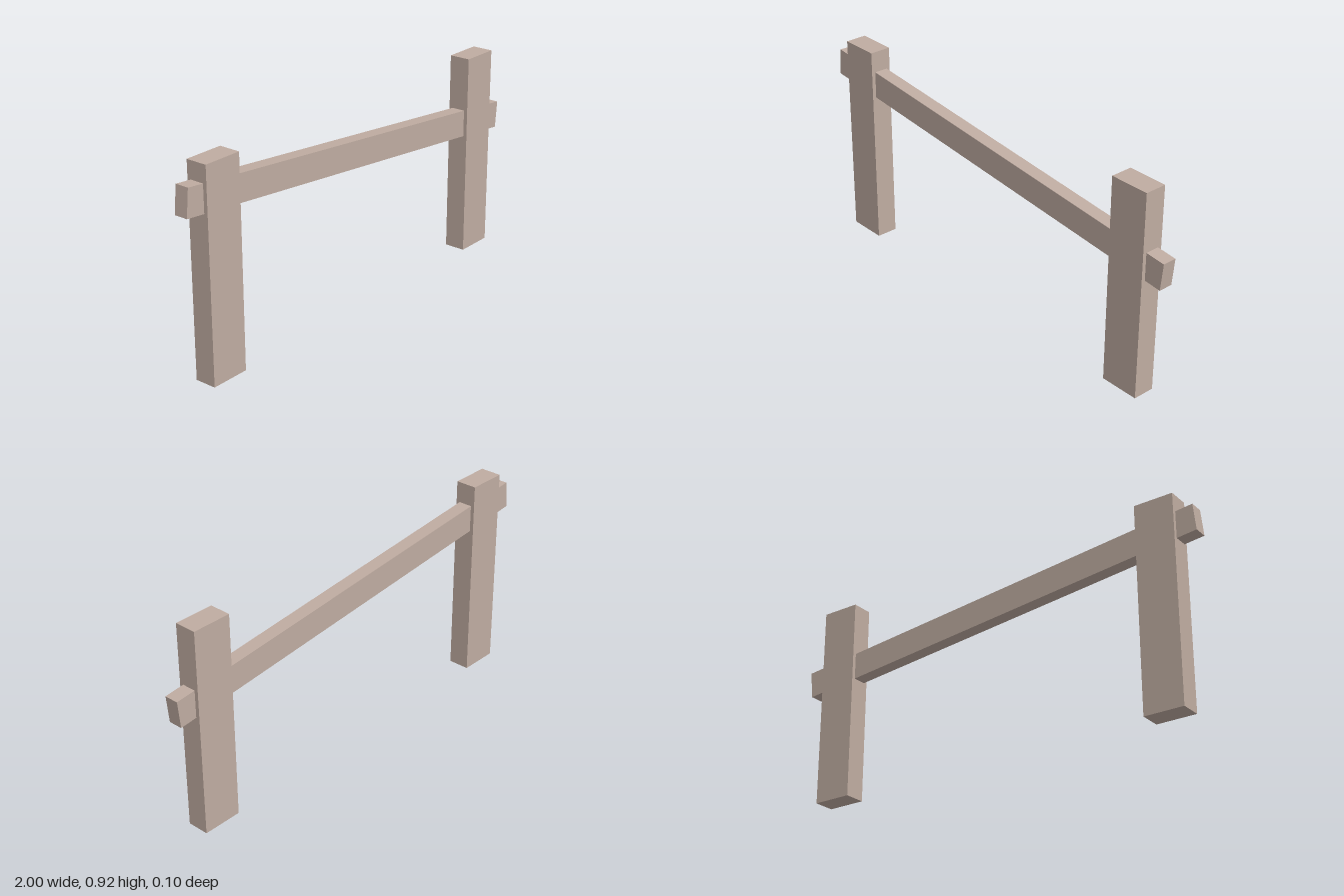
import * as THREE from 'three';

export function createModel() {
  const group = new THREE.Group();
  const wood = new THREE.MeshStandardMaterial({ color: 0xbfaca1, flatShading: true });

  const addBeam = (name, width, height, depth, x, y) => {
    const mesh = new THREE.Mesh(new THREE.BoxGeometry(width, height, depth), wood);
    mesh.name = name;
    mesh.position.set(x, y, 0);
    group.add(mesh);
    return mesh;
  };

  // Upright posts
  const postHeight = 0.915;
  for (const side of [-1, 1]) {
    addBeam(side > 0 ? 'leftPost' : 'rightPost', 0.176, postHeight, 0.096, side * 0.823, postHeight / 2);
  }

  // Sloping rail that passes through both posts
  const rail = addBeam('rail', 1.998, 0.12, 0.062, 0, 0.687);
  rail.rotation.z = -0.0995;

  return group;
}
